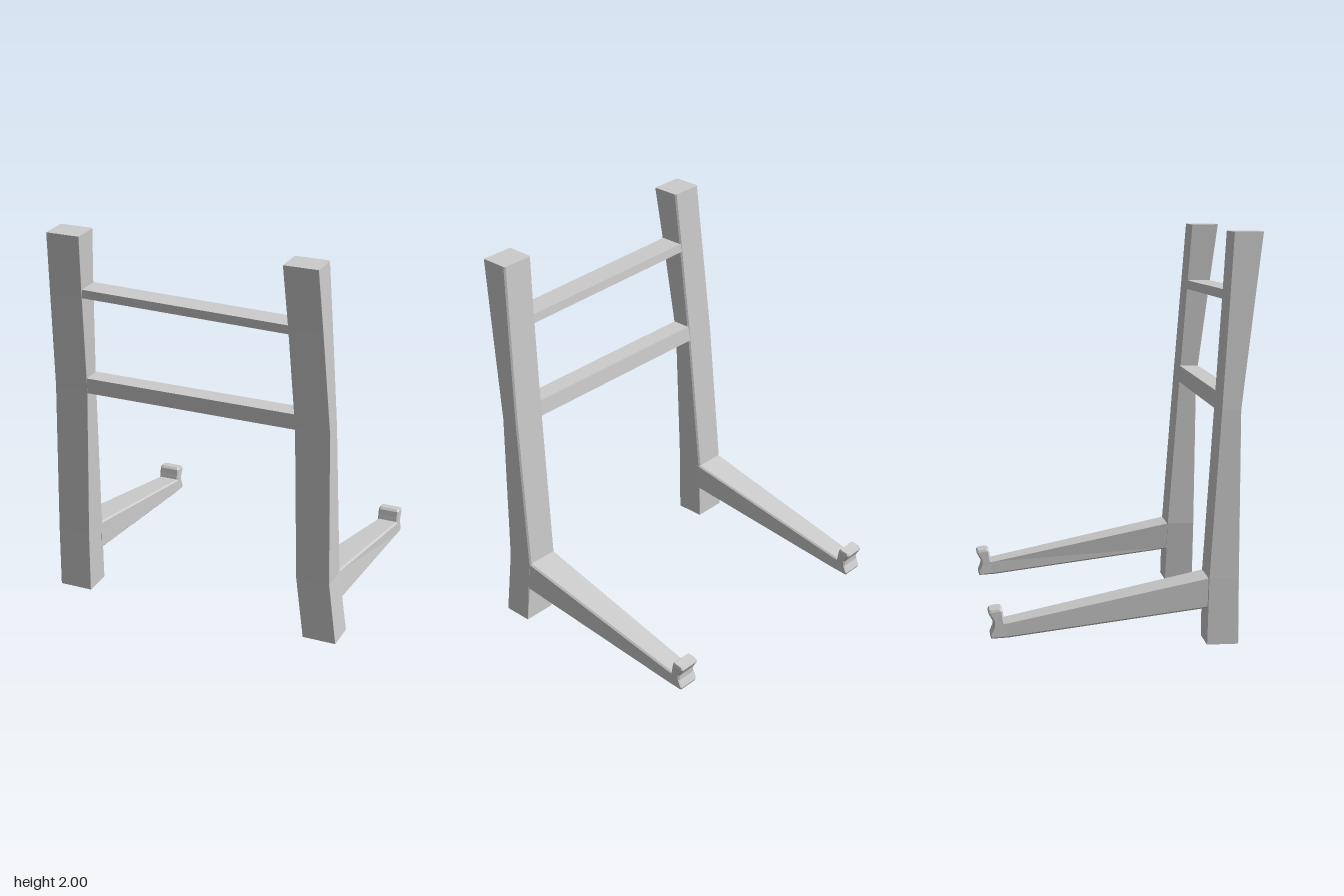
import * as THREE from 'three';

const material = new THREE.MeshStandardMaterial({ color: 0xcccccc, flatShading: true });

// Skins a row of sections. Each section spans edge a to edge b (points [z, y]),
// is centred on xa / xb, has half width h, and chamfers ca / cb at each edge.
function loft(sections) {
  const rings = sections.map(({ a, b, xa, xb = xa, h, ca = 0.001, cb = 0.001 }) => {
    const len = Math.hypot(b[0] - a[0], b[1] - a[1]);
    const at = (side, d, inset) => {
      const t = d / len;
      return [
        xa + (xb - xa) * t + side * (h - inset),
        a[1] + (b[1] - a[1]) * t,
        a[0] + (b[0] - a[0]) * t,
      ];
    };
    return [
      at(-1, len, cb), at(1, len, cb), at(1, len - cb, 0), at(1, ca, 0),
      at(1, 0, ca), at(-1, 0, ca), at(-1, ca, 0), at(-1, len - cb, 0),
    ];
  });
  const pos = [];
  const tri = (p, q, r) => pos.push(...p, ...q, ...r);
  for (let i = 0; i < rings.length - 1; i++) {
    for (let j = 0; j < 8; j++) {
      const k = (j + 1) % 8, p = rings[i], q = rings[i + 1];
      tri(p[j], p[k], q[k]);
      tri(p[j], q[k], q[j]);
    }
  }
  const first = rings[0], last = rings[rings.length - 1];
  for (let j = 1; j < 7; j++) {
    tri(first[0], first[j + 1], first[j]);
    tri(last[0], last[j], last[j + 1]);
  }
  const geometry = new THREE.BufferGeometry();
  geometry.setAttribute('position', new THREE.Float32BufferAttribute(pos, 3));
  geometry.computeVertexNormals();
  return geometry;
}

function part(name, geometry) {
  const mesh = new THREE.Mesh(geometry, material);
  mesh.name = name;
  return mesh;
}

// Upright post: [y, back z, front z, half width, back chamfer]
const postLevels = [
  [0, 0.395, 0.55, 0.088, 0.001],
  [0.33, 0.397, 0.55, 0.088, 0.008],
  [1.15, 0.456, 0.557, 0.09, 0.008],
  [1.68, 0.495, 0.625, 0.088, 0.008],
  [2, 0.518, 0.667, 0.088, 0.008],
];
function post(name, centres) {
  return part(name, loft(postLevels.map(([y, back, front, h, ca], i) => (
    { a: [back, y], b: [front, y], xa: centres[i], h, ca }
  ))));
}

// Arm with an upturned lip: lower / outer edge and upper / inner edge as [z, y]
const armStations = [
  [[0.42, 0.178], [0.42, 0.34]],
  [[0.395, 0.181], [0.395, 0.335]],
  [[-0.57, 0.056], [-0.57, 0.136]],
  [[-0.652, 0.052], [-0.588, 0.132]],
  [[-0.657, 0.065], [-0.589, 0.138]],
  [[-0.641, 0.105], [-0.59, 0.145]],
  [[-0.642, 0.135], [-0.592, 0.155]],
  [[-0.666, 0.178], [-0.597, 0.188]],
  [[-0.66, 0.191], [-0.607, 0.199]],
];
function arm(name, rootLow, rootHigh, tip) {
  return part(name, loft(armStations.map(([a, b], i) => {
    const t = THREE.MathUtils.clamp((0.4 - b[0]) / 1, 0, 1);
    const ends = i === armStations.length - 1 ? 0.004 : 0;
    return {
      a, b,
      xa: THREE.MathUtils.lerp(rootLow, tip, t),
      xb: THREE.MathUtils.lerp(rootHigh, tip, t),
      h: THREE.MathUtils.lerp(0.087, 0.058, t) - ends,
      ca: 0.008, cb: 0.008,
    };
  })));
}

// Crossbar: a box leaning with the posts and sloping slightly sideways
function crossbar(name, y, z, height, depth, slope) {
  const geometry = new THREE.BoxGeometry(1.22, height, depth);
  const p = geometry.attributes.position;
  for (let i = 0; i < p.count; i++) {
    p.setZ(i, p.getZ(i) + 0.11 * p.getY(i));
    p.setY(i, p.getY(i) + slope * p.getX(i));
  }
  geometry.translate(0, y, z);
  geometry.computeVertexNormals();
  return part(name, geometry);
}

export function createModel() {
  const group = new THREE.Group();
  group.name = 'rack';
  group.add(
    post('rightPost', [-0.69, -0.688, -0.665, -0.638, -0.62]),
    post('leftPost', [0.69, 0.65, 0.637, 0.62, 0.607]),
    arm('rightArm', -0.686, -0.686, -0.687),
    arm('leftArm', 0.668, 0.65, 0.66),
    crossbar('lowerCrossbar', 1.18, 0.51, 0.084, 0.1, 0),
    crossbar('upperCrossbar', 1.682, 0.56, 0.046, 0.124, -0.02),
  );
  return group;
}
